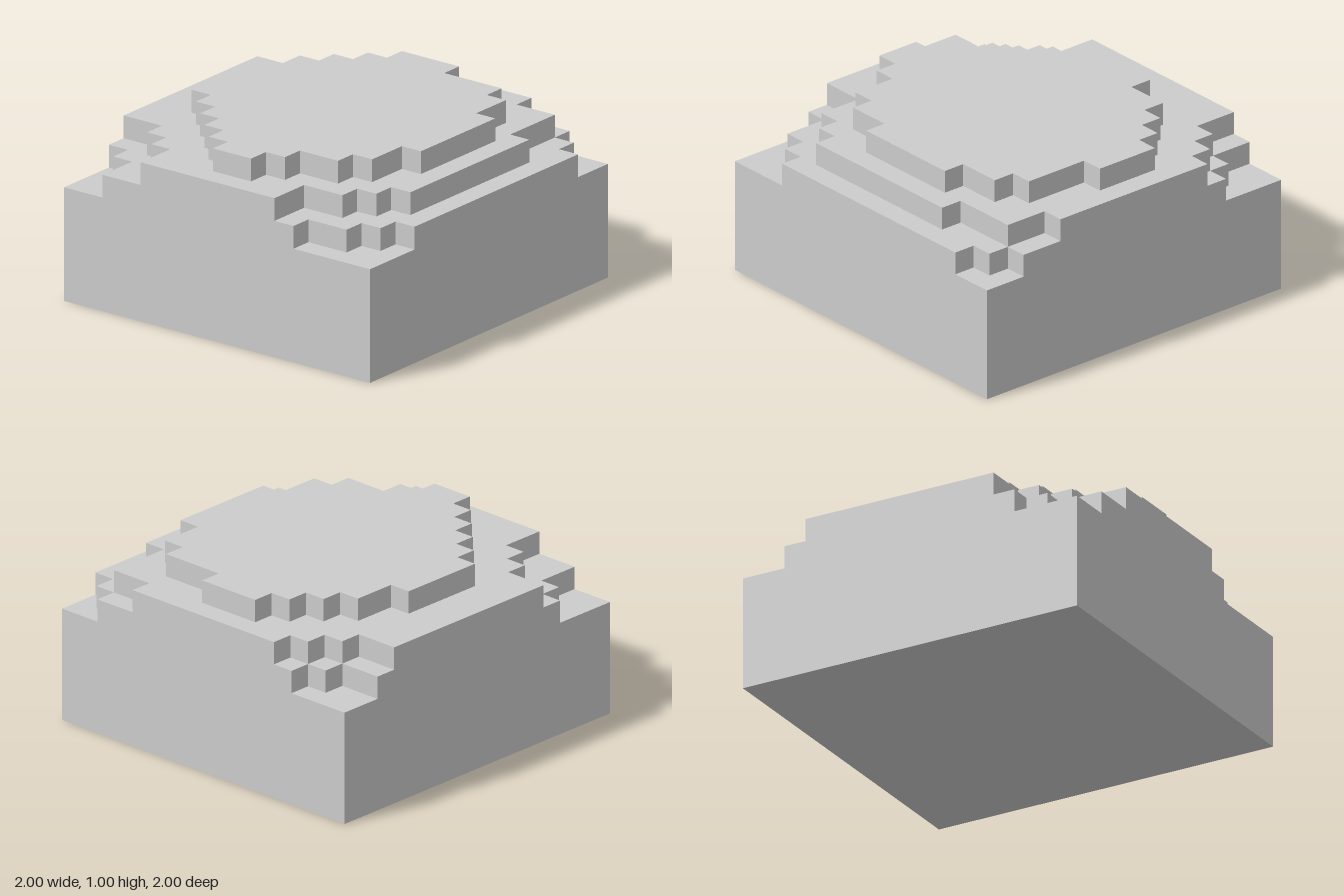
import * as THREE from 'three';

const CELL = 0.125; // the mound is stepped on a 16 x 16 grid of cells

// Each [x, z] pair, in cells, moves first along x and then along z; the last pair is the start.
const layers = [
  { name: 'base', from: 0, to: 5, steps: [[8, 8], [-8, -8]] },
  {
    name: 'lowerTerrace', from: 5, to: 6,
    steps: [[6, -7], [7, -6], [8, 5], [7, 6], [6, 7], [4, 8],
      [-6, 6], [-7, 5], [-8, -6], [-6, -7], [-5, -8]],
  },
  {
    name: 'middleTerrace', from: 6, to: 7,
    steps: [[4, -7], [6, -4], [7, 4], [6, 5], [5, 6], [3, 8],
      [-4, 6], [-5, 5], [-6, 4], [-8, -5], [-6, -6], [-5, -7], [-4, -8]],
  },
  {
    name: 'topTerrace', from: 7, to: 8,
    steps: [[1, -6], [4, -5], [5, -3], [6, 2], [5, 4], [4, 5], [2, 6], [1, 7], [-1, 6],
      [-2, 5], [-3, 4], [-4, 3], [-5, 2], [-6, -2], [-5, -4], [-4, -5], [-3, -6], [-2, -7]],
  },
];

// Turn the steps into a right-angled outline (shape y is -z)
function steppedOutline(steps) {
  const points = [];
  let lastZ = steps[steps.length - 1][1];
  for (const [x, z] of steps) {
    points.push(new THREE.Vector2(x * CELL, -lastZ * CELL), new THREE.Vector2(x * CELL, -z * CELL));
    lastZ = z;
  }
  return new THREE.Shape(points);
}

export function createModel() {
  const group = new THREE.Group();
  group.name = 'steppedMound';
  const material = new THREE.MeshStandardMaterial({ color: 0xcccccc, flatShading: true });

  // Stack the flat layers from the ground up
  for (const { name, from, to, steps } of layers) {
    const geometry = new THREE.ExtrudeGeometry(steppedOutline(steps), {
      depth: (to - from) * CELL,
      bevelEnabled: false,
    });
    geometry.rotateX(-Math.PI / 2);
    const mesh = new THREE.Mesh(geometry, material);
    mesh.name = name;
    mesh.position.y = from * CELL;
    group.add(mesh);
  }
  return group;
}
